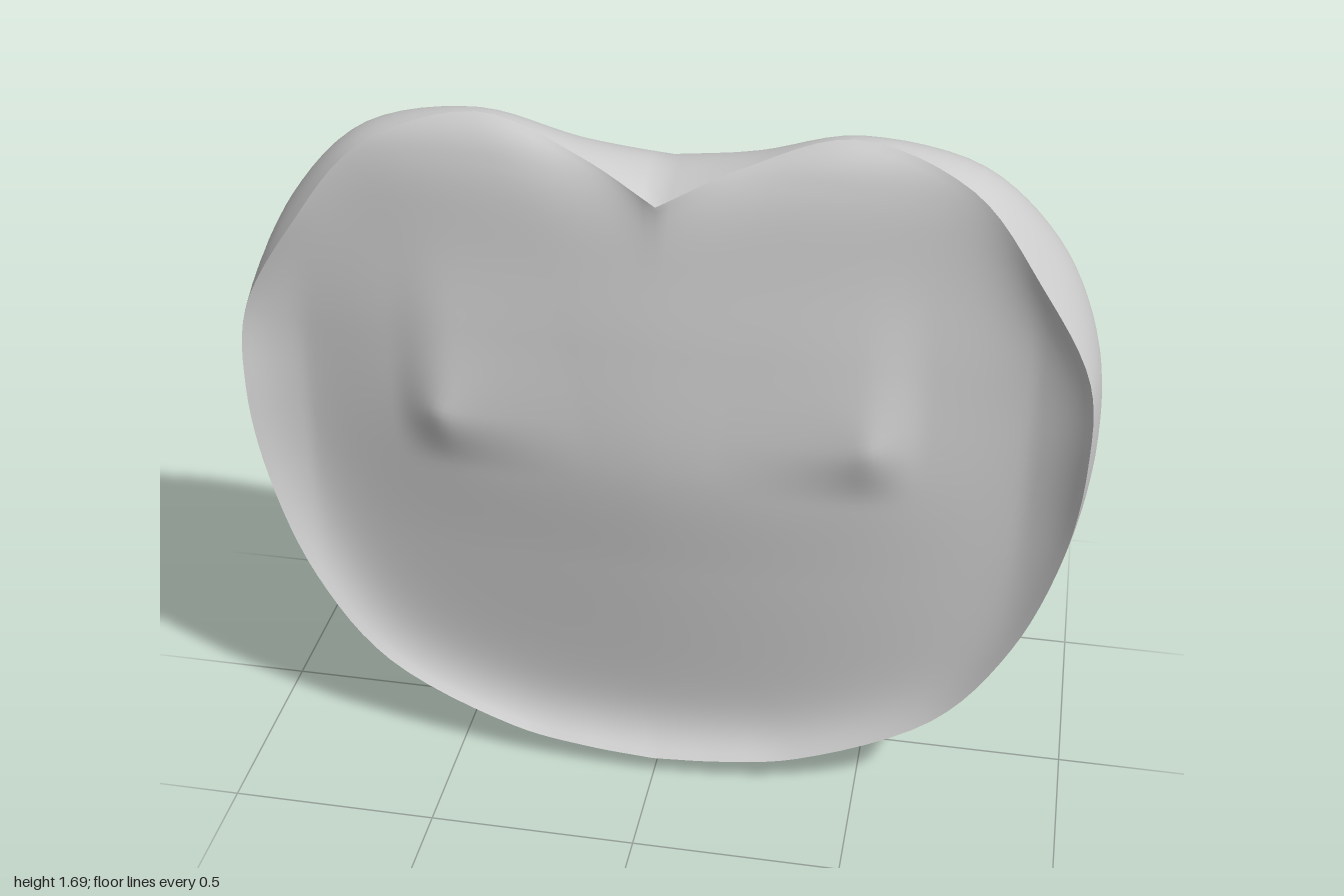
import * as THREE from 'three';

const HALF = 72; // samples along half of the outline
const RINGS = 56;
const CENTRE_Y = 0.85;

// Half of each rim, from the top notch down to the bottom: x, y, z
const FRONT = [
  [0, 1.54, 0.18], [0.18, 1.62, 0.12], [0.42, 1.69, 0.08], [0.68, 1.61, 0.125], [0.84, 1.42, 0.165], [0.965, 1.2, 0.185],
  [0.98, 1.0, 0.2], [0.95, 0.75, 0.195], [0.85, 0.47, 0.2], [0.68, 0.24, 0.205], [0.36, 0.09, 0.225], [0.17, 0.06, 0.235], [0, 0.05, 0.24],
];
const MIDDLE = [
  [0, 1.59, 0.04], [0.2, 1.62, 0.02], [0.43, 1.665, 0], [0.7, 1.61, 0], [0.88, 1.43, 0], [0.975, 1.22, 0],
  [1.0, 1.0, 0], [0.97, 0.75, 0], [0.88, 0.48, 0], [0.7, 0.22, 0], [0.36, 0.04, 0], [0.17, 0.01, 0], [0, 0, 0],
];
const BACK = [
  [0, 1.53, -0.1], [0.2, 1.55, -0.095], [0.43, 1.6, -0.095], [0.66, 1.55, -0.115], [0.83, 1.4, -0.17], [0.94, 1.2, -0.175],
  [0.965, 1.0, -0.185], [0.94, 0.75, -0.2], [0.85, 0.48, -0.225], [0.68, 0.24, -0.235], [0.36, 0.07, -0.245], [0.17, 0.04, -0.25], [0, 0.03, -0.25],
];

// Smooth half outline, mirrored into a closed ring
function ring(points) {
  const curve = new THREE.CatmullRomCurve3(points.map((p) => new THREE.Vector3(...p)), false, 'centripetal');
  const half = curve.getPoints(HALF);
  const mirrored = half.slice(1, -1).reverse().map((p) => new THREE.Vector3(-p.x, p.y, p.z));
  return [...half, ...mirrored];
}

// Skin through a list of closed rings
function loft(name, rows) {
  const n = rows[0].length;
  const index = [];
  for (let k = 0; k < rows.length - 1; k++) {
    for (let i = 0; i < n; i++) {
      const j = (i + 1) % n;
      const a = k * n + i, b = k * n + j, c = a + n, d = b + n;
      index.push(a, b, c, b, d, c);
    }
  }
  const geometry = new THREE.BufferGeometry().setFromPoints(rows.flat());
  geometry.setIndex(index);
  geometry.computeVertexNormals();
  const mesh = new THREE.Mesh(geometry, new THREE.MeshStandardMaterial({ color: 0xcccccc, side: THREE.DoubleSide }));
  mesh.name = name;
  return mesh;
}

const step = THREE.MathUtils.smoothstep;

// Depth along the vertical centre line, as a smooth function of y
function profile(heights, depths) {
  const spline = new THREE.CubicInterpolant(heights, depths, 1);
  return (y) => spline.evaluate(y)[0];
}
const frontLine = profile([0, 0.3, 0.6, 0.9, 1.2, 1.4, 1.6], [0.15, 0.185, 0.22, 0.248, 0.22, 0.19, 0.165]);
const backLine = profile([0, 0.15, 0.4, 0.65, 0.9, 1.15, 1.4, 1.6], [0.14, 0.175, 0.218, 0.218, 0.202, 0.155, 0.105, 0.09]);

// Share of the swelling left at a distance from the centre line, rounded at the middle
const falloff = (x, power) => Math.max(0, 1 - (Math.abs(x) / 0.85) ** power);

// Front relief: a soft belly and a raised upper panel with pointed lower corners
function frontDepth(x, y) {
  const ax = Math.abs(x);
  const p = frontLine(y);
  const base = 0.13 - 0.015 * step(y, 1.15, 1.5);
  const belly = base + (p - base) * falloff(x, 1.8);
  const panel = (1 - step(ax, 0.47, 0.62)) * step(y, 0.84, 1.0) * (1 - step(y, 1.05, 1.5));
  const raised = p - 0.035 * ax;
  const corner = 0.018 * Math.exp(-Math.hypot((ax - 0.5) / 0.08, (y - 1.0) / 0.1));
  return belly + Math.max(0, raised - belly) * panel + corner;
}

// Back relief: a ridged swelling inside a dish
function backDepth(x, y) {
  const p = backLine(y);
  const base = Math.min(p, 0.095);
  return -(base + (p - base) * falloff(x, 1.35));
}

// Rings shrinking from a rim to the centre, easing from the rim lip into the relief
function faceRows(rim, depth, lip) {
  const rows = [];
  for (let k = 0; k <= RINGS; k++) {
    const s = k / RINGS;
    const w = s ** lip;
    rows.push(rim.map((p) => {
      const x = p.x * s;
      const y = CENTRE_Y + (p.y - CENTRE_Y) * s;
      return new THREE.Vector3(x, y, depth(x, y) * (1 - w) + p.z * w);
    }));
  }
  return rows;
}

export function createModel() {
  const model = new THREE.Group();
  model.name = 'lobedCushion';
  const front = ring(FRONT), middle = ring(MIDDLE), back = ring(BACK);

  // Rounded side wall, curving through the three rims
  const wall = [];
  for (let k = 0; k <= 10; k++) {
    const t = k / 10;
    const a = 2 * (t - 0.5) * (t - 1), b = 4 * t * (1 - t), c = 2 * t * (t - 0.5);
    wall.push(front.map((p, i) => new THREE.Vector3()
      .addScaledVector(p, a).addScaledVector(middle[i], b).addScaledVector(back[i], c)));
  }

  model.add(
    loft('frontFace', faceRows(front, frontDepth, 13)),
    loft('sideWall', wall),
    loft('backFace', faceRows(back, backDepth, 9).reverse()),
  );
  return model;
}
